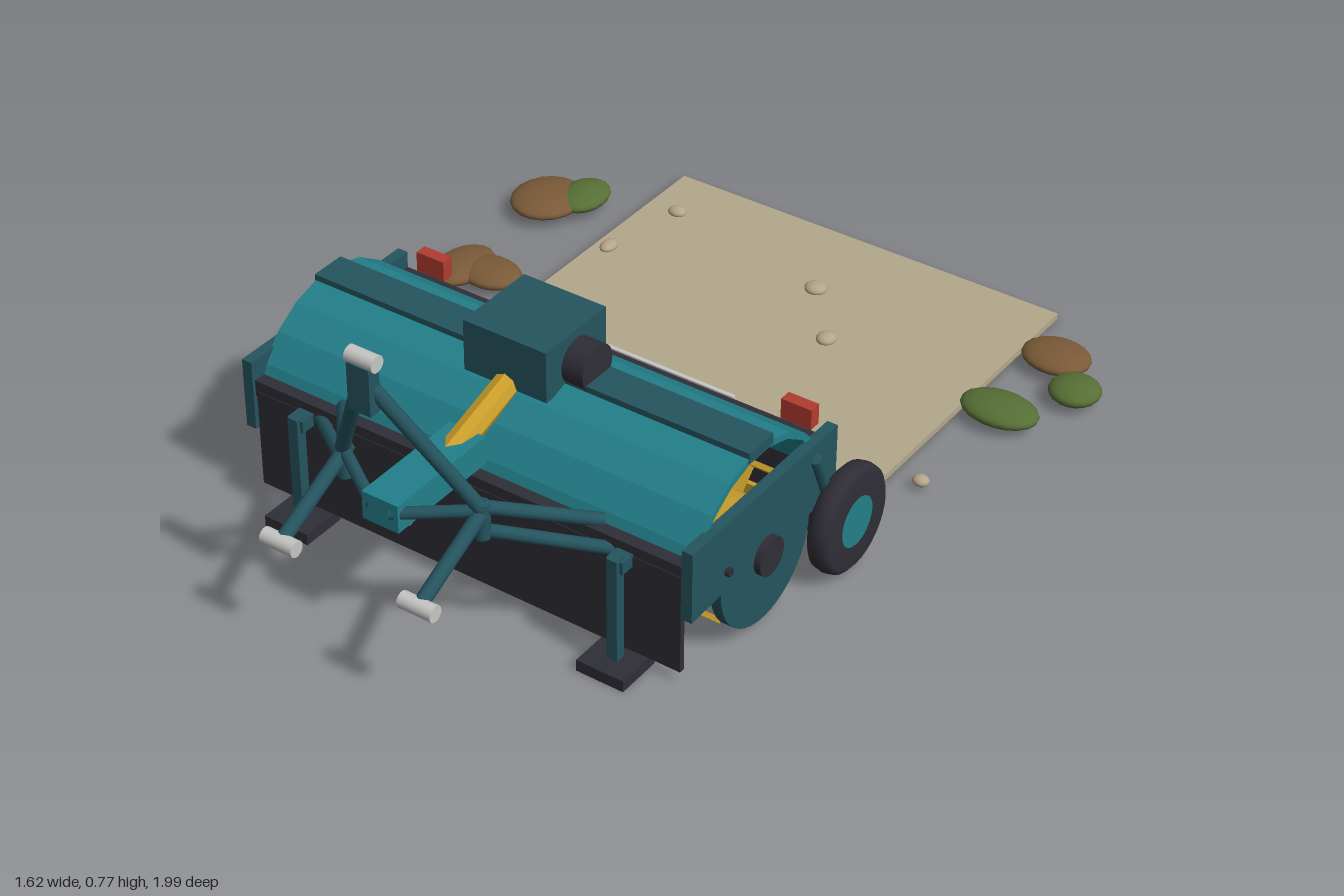
import * as THREE from 'three';

const mat = (name, color, extra = {}) => {
  const m = new THREE.MeshStandardMaterial({ color, ...extra });
  m.name = name;
  return m;
};

export function createModel() {
  const teal = mat('teal paint', 0x23808a);
  const dark = mat('dark teal paint', 0x25545f);
  const black = mat('charcoal rubber', 0x2f2e37);
  const yellow = mat('yellow steel', 0xc99d2a);
  const silver = mat('bare metal', 0xc6c6c4);
  const red = mat('red lamp', 0xb23c30);
  const soil = mat('tilled soil', 0xb3a88a);
  const stone = mat('pebble', 0xb5a688);
  const brown = mat('brown clod', 0x7a5a38);
  const green = mat('green tuft', 0x566f35);

  const root = new THREE.Group();
  root.name = 'rotaryTiller';
  const machine = new THREE.Group();
  machine.name = 'machine';
  machine.position.x = 0.0135;
  root.add(machine);

  const add = (name, geo, material, x = 0, y = 0, z = 0, parent = machine) => {
    const m = new THREE.Mesh(geo, material);
    m.name = name;
    m.position.set(x, y, z);
    parent.add(m);
    return m;
  };
  const box = (name, material, w, h, d, x, y, z, parent) =>
    add(name, new THREE.BoxGeometry(w, h, d), material, x, y, z, parent);
  // Cylinder lying along x
  const axle = (name, material, r, w, x, y, z, seg = 24) =>
    add(name, new THREE.CylinderGeometry(r, r, w, seg).rotateZ(Math.PI / 2), material, x, y, z);
  // Straight bar between two points
  const rod = (name, material, a, b, r, seg = 10) => {
    const p = new THREE.Vector3(...a), q = new THREE.Vector3(...b);
    const m = add(name, new THREE.CylinderGeometry(r, r, p.distanceTo(q), seg), material);
    m.position.copy(p).lerp(q, 0.5);
    m.quaternion.setFromUnitVectors(new THREE.Vector3(0, 1, 0), q.sub(p).normalize());
    return m;
  };
  // Side profile drawn in (z, y), extruded along x and centred on x
  const profile = (name, material, shape, width, x) => {
    const geo = new THREE.ExtrudeGeometry(shape, { depth: width, bevelEnabled: false, curveSegments: 24 });
    return add(name, geo.translate(0, 0, -width / 2).rotateY(-Math.PI / 2), material, x);
  };

  const RY = 0.18, RZ = 0.345; // rotor axis

  // Faceted hood shell
  const ring = [];
  for (let i = 0; i <= 9; i++) ring.push(THREE.MathUtils.degToRad(16 + (i * 148) / 9));
  const at = r => a => new THREE.Vector2(RZ + r * Math.cos(a), RY + r * Math.sin(a));
  const hoodShape = new THREE.Shape([...ring.map(at(0.262)), ...ring.map(at(0.246)).reverse()]);
  profile('hood', teal, hoodShape, 1.13, 0);
  box('hoodTopBeam', dark, 1.134, 0.025, 0.088, 0, 0.44, 0.342);

  // Front and rear edge bars with rubber flaps
  box('frontBar', black, 1.12, 0.04, 0.03, 0, 0.28, 0.592);
  box('frontFlap', black, 1.11, 0.245, 0.014, 0, 0.152, 0.602);
  box('rearBar', black, 1.12, 0.04, 0.03, 0, 0.29, 0.094);
  box('rearFlap', black, 1.11, 0.21, 0.014, 0, 0.165, 0.088);
  box('rearScraper', silver, 0.65, 0.032, 0.01, 0, 0.298, 0.075);
  for (let i = 0; i < 22; i++)
    box('scraperTooth', silver, 0.018, 0.014, 0.008, -0.31 + i * 0.0295, 0.277, 0.075);

  // Rotor with staggered L-shaped blades
  axle('rotorDrum', yellow, 0.1, 1.1, 0, RY, RZ, 16);
  const rotor = new THREE.Group();
  rotor.name = 'rotorBlades';
  rotor.position.set(0, RY, RZ);
  machine.add(rotor);
  for (let row = 0; row < 8; row++) {
    const bar = new THREE.Group();
    bar.name = 'bladeRow';
    bar.rotation.x = (row * Math.PI) / 4;
    rotor.add(bar);
    const shift = row % 2 ? 0.025 : -0.025;
    for (let i = 0; i < 10; i++) {
      const x = -0.477 + i * 0.106 + shift;
      box('bladeShank', yellow, 0.014, 0.08, 0.035, x - 0.036, -0.125, 0, bar);
      box('bladeTip', yellow, 0.086, 0.012, 0.04, x, -0.163, 0, bar);
    }
  }

  // Side plates, bearings, wheel arms and gauge wheels
  const plate = new THREE.Shape();
  plate.moveTo(0.615, 0.176);
  plate.lineTo(0.615, 0.35);
  plate.lineTo(0.078, 0.35);
  plate.lineTo(0.078, RY);
  plate.lineTo(RZ - 0.165, RY);
  plate.absarc(RZ, RY, 0.165, Math.PI, Math.PI * 2, false);
  const tyre = [[0.055, -0.026], [0.112, -0.028], [0.124, -0.019], [0.128, 0], [0.124, 0.019], [0.112, 0.028], [0.055, 0.026]]
    .map(p => new THREE.Vector2(...p));
  for (const s of [-1, 1]) {
    profile('sidePlate', dark, plate, 0.026, s * 0.573);
    axle('rotorBearing', black, 0.045, 0.02, s * 0.592, RY, RZ);
    axle('plateBolt', black, 0.01, 0.014, s * 0.59, 0.23, 0.49, 8);
    rod('wheelArm', dark, [s * 0.592, 0.32, 0.17], [s * 0.592, 0.13, 0.09], 0.014);
    add('tyre', new THREE.LatheGeometry(tyre, 32).rotateZ(Math.PI / 2), black, s * 0.6235, 0.131, 0.088);
    axle('wheelHub', teal, 0.06, 0.054, s * 0.6235, 0.131, 0.088);

    // Rear lamps
    box('rearLamp', red, 0.076, 0.05, 0.03, s * 0.488, 0.342, 0.072);
    box('rearReflector', red, 0.04, 0.03, 0.012, s * 0.488, 0.25, 0.077);

    // Parking stands
    box('standLeg', dark, 0.026, 0.26, 0.026, s * 0.417, 0.155, 0.642);
    box('standFoot', black, 0.118, 0.028, 0.112, s * 0.417, 0.014, 0.642);
    box('standBracket', dark, 0.04, 0.03, 0.06, s * 0.417, 0.265, 0.615);

    // Three-point hitch
    rod('mastBar', dark, [s * 0.012, 0.69, 0.895], [s * 0.178, 0.385, 0.77], 0.016);
    rod('lowerLink', dark, [s * 0.178, 0.38, 0.75], [s * 0.178, 0.268, 0.975], 0.017);
    rod('upperBrace', dark, [s * 0.178, 0.385, 0.765], [s * 0.34, 0.305, 0.575], 0.015);
    rod('lowerBrace', dark, [s * 0.17, 0.325, 0.765], [s * 0.39, 0.265, 0.595], 0.015);
    rod('linkPost', dark, [s * 0.178, 0.395, 0.765], [s * 0.178, 0.31, 0.765], 0.018);
    rod('drawbarBrace', dark, [s * 0.178, 0.375, 0.765], [s * 0.02, 0.36, 0.865], 0.014);
    axle('linkPin', silver, 0.019, 0.084, s * 0.178, 0.268, 0.975);
  }

  // Mast head, drawbar, gearbox and drive shaft
  box('mastHead', dark, 0.056, 0.11, 0.032, 0, 0.685, 0.9);
  axle('mastPin', silver, 0.019, 0.07, 0, 0.748, 0.896);
  box('drawbar', teal, 0.092, 0.068, 0.29, 0, 0.357, 0.725);
  box('gearbox', dark, 0.214, 0.125, 0.212, 0, 0.4875, 0.345);
  axle('gearboxCap', black, 0.053, 0.056, 0.133, 0.477, RZ);
  const shaft = rod('driveShaft', yellow, [0, 0.435, 0.42], [0, 0.31, 0.81], 0.03, 8);
  shaft.geometry = shaft.geometry.toNonIndexed();
  shaft.geometry.computeVertexNormals();
  rod('driveShaftTip', black, [0, 0.311, 0.808], [0, 0.304, 0.83], 0.02);

  // Tilled ground, pebbles, clods and tufts: [x, y, z, rx, ry, rz]
  box('tilledGround', soil, 1.075, 0.016, 1.01, 0.0125, 0.008, -0.495, root);
  const lumps = (name, material, list) => list.forEach(([x, y, z, rx, ry, rz]) =>
    add(name, new THREE.SphereGeometry(1, 18, 12), material, x, y, z, root).scale.set(rx, ry, rz));
  lumps('pebble', stone, [
    [-0.44, 0.02, -0.845, 0.024, 0.013, 0.02], [0.025, 0.02, -0.755, 0.028, 0.014, 0.026],
    [-0.488, 0.02, -0.62, 0.02, 0.013, 0.028], [0.16, 0.02, -0.59, 0.024, 0.014, 0.026],
    [0.305, 0.02, -0.22, 0.026, 0.014, 0.024], [0.627, 0.02, -0.243, 0.02, 0.013, 0.018]]);
  lumps('clod', brown, [
    [-0.726, 0.035, -0.69, 0.09, 0.026, 0.1], [-0.71, 0.035, -0.327, 0.065, 0.024, 0.095],
    [-0.64, 0.035, -0.34, 0.085, 0.024, 0.065], [0.646, 0.035, -0.818, 0.085, 0.025, 0.07]]);
  lumps('tuft', green, [
    [-0.657, 0.037, -0.75, 0.06, 0.025, 0.08], [0.747, 0.035, -0.723, 0.062, 0.026, 0.062],
    [0.643, 0.035, -0.56, 0.097, 0.026, 0.066]]);

  return root;
}
